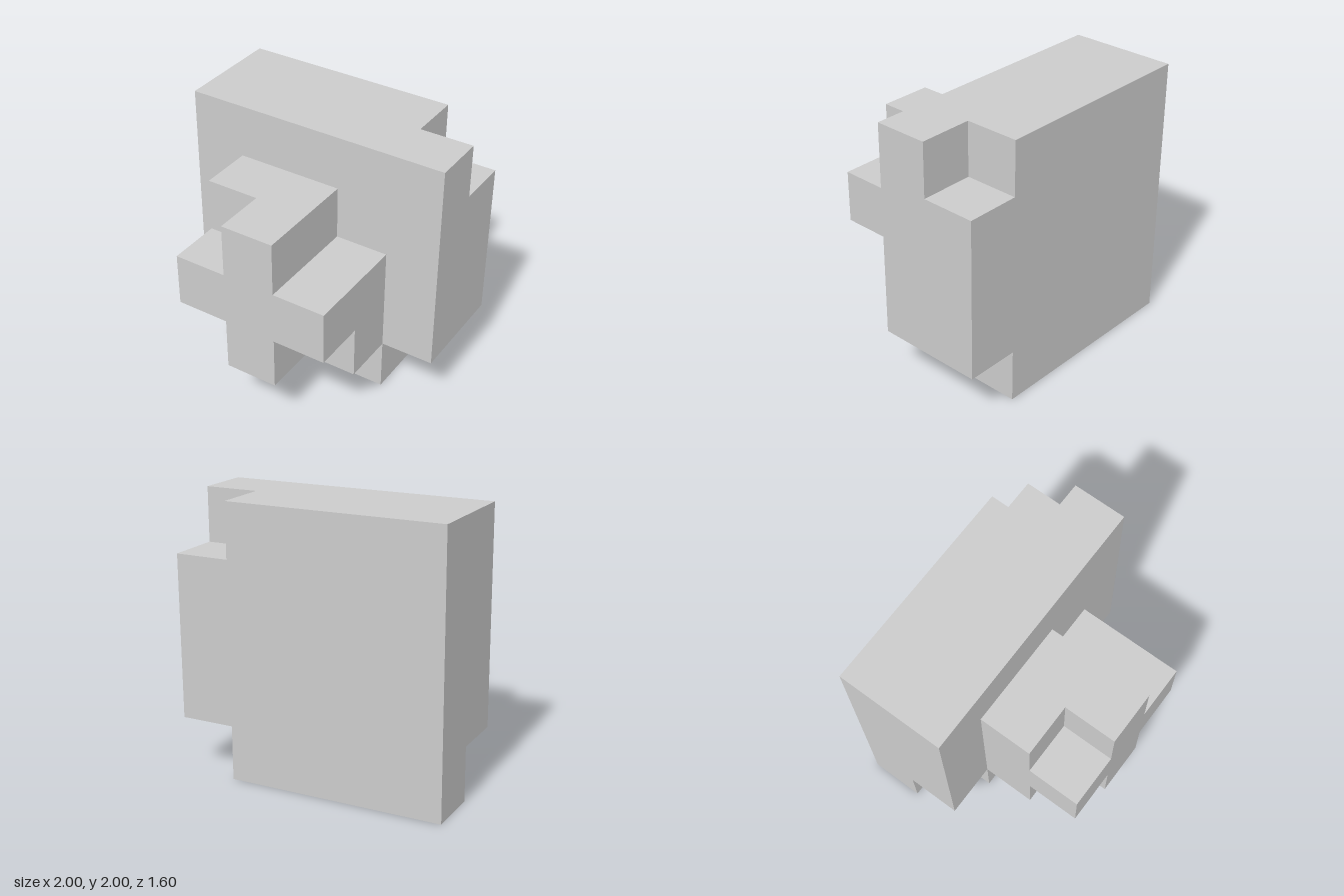
import * as THREE from 'three';

const U = 0.4; // edge of one cubic unit
const material = new THREE.MeshStandardMaterial({ color: 0xcccccc, flatShading: true });

// One layer, a unit thick: outline corners in units from the lower left corner (x = -1, y = 0)
function layer(name, backZ, corners) {
  const shape = new THREE.Shape(corners.map(([x, y]) => new THREE.Vector2(x * U - 1, y * U)));
  const geometry = new THREE.ExtrudeGeometry(shape, { depth: U, bevelEnabled: false });
  const mesh = new THREE.Mesh(geometry, material);
  mesh.name = name;
  mesh.position.z = backZ;
  return mesh;
}

export function createModel() {
  const model = new THREE.Group();
  model.name = 'steppedBlock';

  // Large slab: back half is notched at two left corners, front half at both lower corners
  const slab = new THREE.Group();
  slab.name = 'slab';
  slab.add(
    layer('slabBack', -2 * U, [[0, 0], [4, 0], [4, 1], [5, 1], [5, 4], [4, 4], [4, 5], [0, 5]]),
    layer('slabFront', -U, [[1, 0], [4, 0], [4, 1], [5, 1], [5, 5], [0, 5], [0, 1], [1, 1]]),
  );

  // Protrusion: square base missing its upper left corner, with a plus on its front
  const protrusion = new THREE.Group();
  protrusion.name = 'protrusion';
  protrusion.add(
    layer('protrusionBase', 0, [[1, 1], [4, 1], [4, 3], [3, 3], [3, 4], [1, 4]]),
    layer('frontCross', U, [
      [2, 1], [3, 1], [3, 2], [4, 2], [4, 3], [3, 3],
      [3, 4], [2, 4], [2, 3], [1, 3], [1, 2], [2, 2],
    ]),
  );

  model.add(slab, protrusion);
  return model;
}
